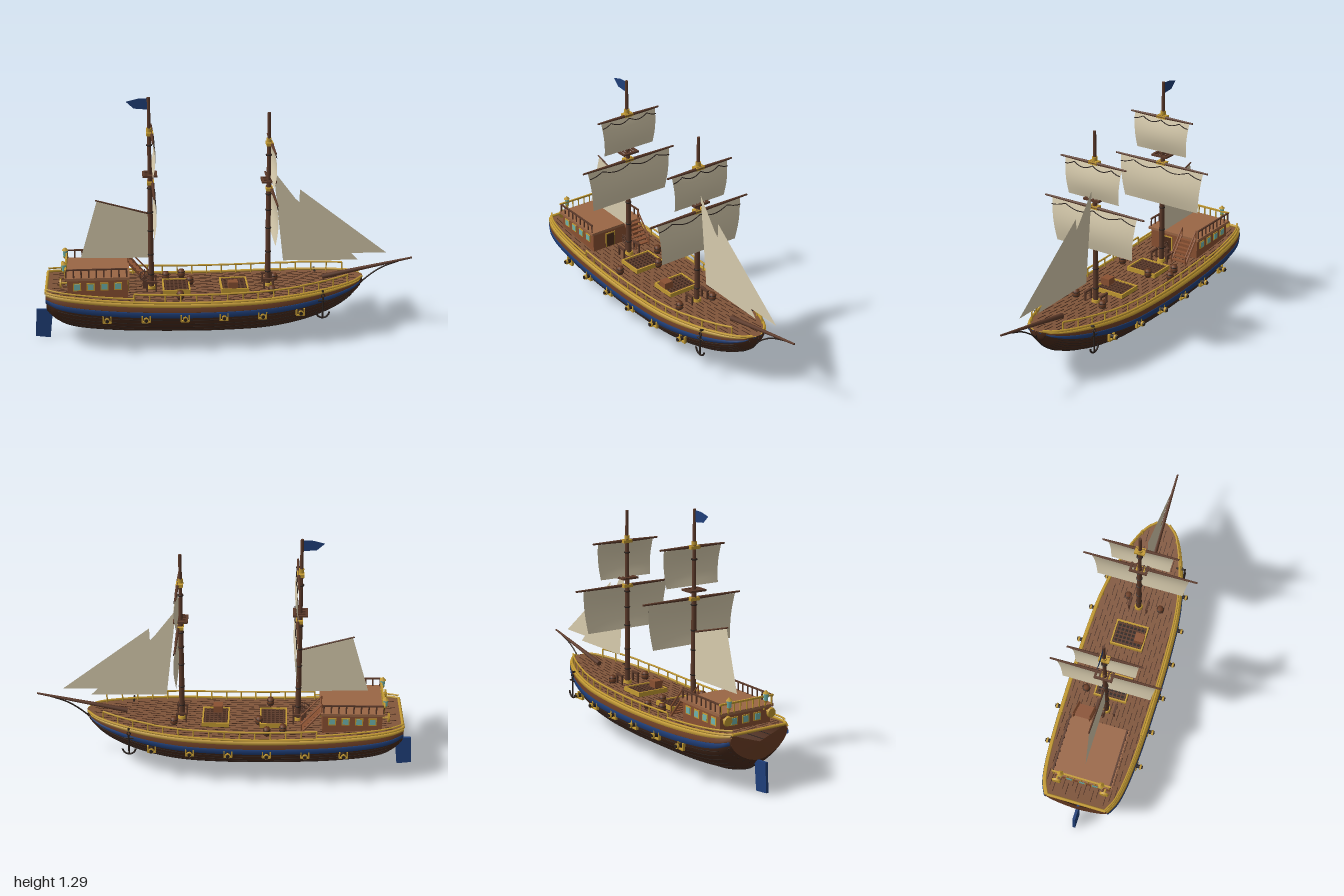
import * as THREE from 'three';
import { mergeGeometries } from 'three/addons/utils/BufferGeometryUtils.js';

const WOOD = 0x4a2b1c, WALE = 0x6b3d24, DECK = 0x80553a, CABIN = 0x8a5132, SPAR = 0x5c3a2a,
  GOLD = 0xc39a32, BLUE = 0x1f3f7a, SAIL = 0xd8ccae, DARK = 0x2a211d, GLASS = 0x6fb3ad;
const V = (x, y, z) => new THREE.Vector3(x, y, z);

// Hull lines: x, half width, keel height along the ship; unit cross-section from keel to sheer
const lines = new THREE.CatmullRomCurve3([
  [-0.93, 0.168, 0.16], [-0.88, 0.195, 0.11], [-0.8, 0.215, 0.075], [-0.6, 0.234, 0.048], [-0.3, 0.242, 0.034],
  [0, 0.24, 0.03], [0.25, 0.225, 0.042], [0.45, 0.184, 0.083], [0.6, 0.13, 0.145], [0.68, 0.085, 0.205],
  [0.72, 0.045, 0.25], [0.735, 0.002, 0.285]].map(p => V(...p)));
const section = new THREE.CatmullRomCurve3([[0, 0], [0.13, 0], [0.5, 0.15], [0.8, 0.38], [0.97, 0.63], [1, 0.8], [0.955, 1]]
  .map(p => V(p[0], p[1], 0)));
const sheer = x => 0.255 + 0.05 * ((x + 0.1) / 0.83) ** 2;
function station(x) {
  let a = 0, b = 1;
  for (let i = 0; i < 22; i++) { const m = (a + b) / 2; if (lines.getPoint(m).x < x) a = m; else b = m; }
  return lines.getPoint(a);
}
// Point on the hull: v runs -1 (right sheer) .. 0 (keel) .. 1 (left sheer)
function hullAt(x, v, off = 0) {
  const st = station(x), c = section.getPoint(Math.min(1, Math.abs(v))), s = v < 0 ? -1 : 1;
  return V(x, st.z + (sheer(x) - st.z) * c.y, s * (st.y * c.x + off));
}
const deckHalf = x => station(x).y * 0.955;

// Skin a list of equally long rows of points
function loft(rows) {
  const n = rows[0].length, idx = [];
  for (let i = 0; i < rows.length - 1; i++) for (let j = 0; j < n - 1; j++) {
    const a = i * n + j, b = a + n;
    idx.push(a, b, a + 1, a + 1, b, b + 1);
  }
  const g = new THREE.BufferGeometry().setFromPoints(rows.flat());
  g.setIndex(idx);
  g.computeVertexNormals();
  return g;
}
const range = (a, b, n) => Array.from({ length: n + 1 }, (_, i) => a + (b - a) * i / n);
const mat = (color, both) => new THREE.MeshStandardMaterial({ color, roughness: 0.85, side: both ? THREE.DoubleSide : THREE.FrontSide });
const box = (w, h, d, x, y, z) => new THREE.BoxGeometry(w, h, d).translate(x, y, z);
function bar(a, b, r0, r1 = r0, sides = 8) {
  const d = b.clone().sub(a), g = new THREE.CylinderGeometry(r1, r0, d.length(), sides);
  g.applyQuaternion(new THREE.Quaternion().setFromUnitVectors(V(0, 1, 0), d.normalize()));
  const c = a.clone().add(b).multiplyScalar(0.5);
  return g.translate(c.x, c.y, c.z);
}
const tube = (pts, r, n = 48) => new THREE.TubeGeometry(new THREE.CatmullRomCurve3(pts), n, r, 6);
const ring = (r, t, x, y, z) => new THREE.TorusGeometry(r, t, 6, 14).rotateX(Math.PI / 2).translate(x, y, z);

export function createModel() {
  const ship = new THREE.Group();
  const add = (name, geos, color, both = false) => {
    const m = new THREE.Mesh(Array.isArray(geos) ? mergeGeometries(geos) : geos, mat(color, both));
    m.name = name;
    ship.add(m);
    return m;
  };
  const sides = f => [1, -1].flatMap(s => f(s));

  // Hull shell, transom and deck
  const xs = lines.getPoints(70).map(p => p.x);
  add('hull', loft(xs.map(x => range(-1, 1, 48).map(v => hullAt(x, v)))), WOOD, true);
  add('transom', loft([range(-1, 1, 32).map(v => hullAt(-0.93, v)),
    range(-1, 1, 32).map(() => V(-0.935, 0.25, 0))]), WALE, true);
  add('deck', loft(xs.map(x => [-1, 0, 1].map(s => V(x, sheer(x) - 0.003, s * deckHalf(x))))), DECK, true);

  // Raised bands and plank seams along the hull
  const band = (v0, v1, off) => sides(s => [loft(range(-0.932, 0.733, 60).map(x =>
    [hullAt(x, s * v0), hullAt(x, s * v0, off), hullAt(x, s * v1, off), hullAt(x, s * v1)]))]);
  add('blueStripe', band(0.71, 0.83, 0.009), BLUE, true);
  add('wale', band(0.84, 0.95, 0.005), WALE, true);
  add('goldStrake', band(0.94, 1, 0.011), GOLD, true);
  add('plankSeams', sides(s => [0.22, 0.31, 0.4, 0.48, 0.56, 0.64].map(v =>
    tube(range(-0.92, 0.72, 24).map(x => hullAt(x, s * v)), 0.002, 60))), DARK);
  add('keel', tube(range(-0.92, 0.734, 40).map(x => V(x, station(x).z, 0)), 0.006, 80), DARK);
  add('capRail', sides(s => [tube(range(-0.93, 0.725, 40).map(x => V(x, sheer(x) + 0.004, s * deckHalf(x))), 0.007, 90)])
    .concat(bar(V(-0.93, 0.308, -0.16), V(-0.93, 0.308, 0.16), 0.008)), GOLD);

  // Deck plank seams in staggered dashes
  const dashes = [];
  for (let i = -9; i <= 9; i++) for (let k = 0; k < 17; k++) {
    const x = -0.87 + k * 0.094 + (Math.abs(i * 7) % 3) * 0.028, z = i * 0.023;
    if (x < 0.68 && deckHalf(x + 0.035) > Math.abs(z) + 0.015) {
      const slope = (sheer(x + 0.01) - sheer(x)) / 0.01;
      dashes.push(new THREE.BoxGeometry(0.066, 0.002, 0.003).rotateZ(Math.atan(slope)).translate(x, sheer(x) - 0.002, z));
    }
  }
  add('deckSeams', dashes, 0x45291b);

  // Open side rails on posts, higher at the bow
  const railPt = (x, s) => V(x, sheer(x) + (x > 0.4 ? 0.048 : 0.045), s * (deckHalf(x) - 0.008));
  add('sideRails', sides(s => [tube(range(-0.48, 0.64, 24).map(x => railPt(x, s)), 0.005, 60),
    ...range(-0.48, 0.64, 14).map(x => bar(railPt(x, s).setY(sheer(x) - 0.005), railPt(x, s), 0.004))]), GOLD);
  add('sternRails', sides(s => [tube(range(-0.93, -0.48, 8).map(x => V(x, sheer(x) + 0.022, s * (deckHalf(x) - 0.004))), 0.005, 20)]), GOLD);

  // Guns with gold port frames
  const gunX = range(-0.62, 0.38, 5), port = x => Math.abs(hullAt(x, 0.72).z);
  add('guns', sides(s => gunX.map(x => bar(V(x, 0.186, s * (port(x) - 0.02)), V(x, 0.186, s * (port(x) + 0.042)), 0.012, 0.009, 10))), DARK);
  add('gunPorts', sides(s => gunX.flatMap(x => [box(0.045, 0.007, 0.014, x, 0.166, s * (port(x) + 0.005)),
    box(0.007, 0.036, 0.014, x - 0.02, 0.184, s * (port(x) + 0.005)), box(0.007, 0.036, 0.014, x + 0.02, 0.184, s * (port(x) + 0.005)),
    bar(V(x, 0.186, s * (port(x) + 0.026)), V(x, 0.186, s * (port(x) + 0.036)), 0.014, 0.014, 10)])), GOLD);

  // Rudder
  const outline = pts => new THREE.Shape(pts.map(p => new THREE.Vector2(...p)));
  add('rudder', new THREE.ExtrudeGeometry(outline([[-0.99, 0.16], [-0.905, 0.155], [-0.922, 0], [-1, 0.01]]),
    { depth: 0.014, bevelEnabled: false }).translate(0, 0, -0.007), BLUE);

  // Stern cabin with roof, windows and door
  add('cabin', box(0.31, 0.11, 0.3, -0.665, 0.317, 0), CABIN);
  add('cabinRoof', box(0.33, 0.014, 0.326, -0.665, 0.377, 0), 0x9a6645);
  const winX = [-0.77, -0.7, -0.63, -0.56], backZ = [-0.07, 0, 0.07];
  add('windowFrames', [...sides(s => winX.map(x => box(0.042, 0.042, 0.006, x, 0.333, s * 0.151))),
    ...backZ.map(z => box(0.006, 0.042, 0.042, -0.821, 0.333, z)), box(0.006, 0.084, 0.06, -0.509, 0.31, 0.04)], GOLD);
  add('windowPanes', [...sides(s => winX.map(x => box(0.03, 0.03, 0.006, x, 0.333, s * 0.153))),
    ...backZ.map(z => box(0.006, 0.03, 0.03, -0.823, 0.333, z))], GLASS);
  add('cabinDoor', box(0.006, 0.076, 0.048, -0.507, 0.308, 0.04), WOOD);
  add('roofRail', sides(s => [box(0.32, 0.007, 0.009, -0.67, 0.428, s * 0.155),
    ...range(-0.825, -0.515, 8).map(x => bar(V(x, 0.38, s * 0.155), V(x, 0.428, s * 0.155), 0.004))]), SPAR);
  add('roofBackRail', [box(0.009, 0.009, 0.32, -0.828, 0.428, 0),
    ...range(-0.15, 0.15, 8).map(z => bar(V(-0.828, 0.38, z), V(-0.828, 0.428, z), 0.004))], GOLD);

  // Stairs from the main deck to the cabin roof
  add('stairs', [...range(0, 5, 5).map(i => box(0.02, 0.007, 0.085, -0.49 + i * 0.016, 0.368 - i * 0.018, -0.1)),
    ...[-0.145, -0.055].flatMap(z => [bar(V(-0.505, 0.385, z), V(-0.4, 0.262, z), 0.006),
      bar(V(-0.505, 0.43, z), V(-0.4, 0.31, z), 0.004), bar(V(-0.4, 0.255, z), V(-0.4, 0.312, z), 0.004),
      bar(V(-0.505, 0.38, z), V(-0.505, 0.432, z), 0.004)])], CABIN);

  // Stern lanterns and round ornaments
  add('lanternGlass', sides(s => [new THREE.CylinderGeometry(0.014, 0.011, 0.036, 6).translate(-0.835, 0.427, s * 0.11)]), GLASS);
  add('lanternFrames', sides(s => [new THREE.ConeGeometry(0.018, 0.018, 6).translate(-0.835, 0.453, s * 0.11),
    new THREE.CylinderGeometry(0.013, 0.008, 0.01, 6).translate(-0.835, 0.405, s * 0.11),
    bar(V(-0.82, 0.36, s * 0.11), V(-0.835, 0.405, s * 0.11), 0.005),
    bar(V(-0.85, 0.35, s * 0.13), V(-0.86, 0.35, s * 0.13), 0.026, 0.022, 16),
    bar(V(-0.82, 0.35, s * 0.13), V(-0.85, 0.35, s * 0.13), 0.006)]), GOLD);

  // Grated hatches
  for (const x of [-0.255, 0.05]) {
    add('hatchFrame', [...sides(s => [box(0.008, 0.024, 0.18, x + s * 0.068, 0.266, 0), box(0.144, 0.024, 0.008, x, 0.266, s * 0.086)])], GOLD);
    add('hatchPit', box(0.13, 0.008, 0.168, x, 0.259, 0), DARK);
    add('hatchGrating', [...range(-0.055, 0.055, 5).map(d => box(0.007, 0.008, 0.17, x + d, 0.27, 0)),
      ...range(-0.075, 0.075, 7).map(d => box(0.13, 0.008, 0.007, x, 0.27, d))], SPAR);
  }

  // Barrels, crate and steering wheel
  const barrel = (x, z) => new THREE.LatheGeometry([[0, 0], [0.015, 0], [0.02, 0.022], [0.015, 0.044], [0, 0.044]]
    .map(p => new THREE.Vector2(...p)), 12).translate(x, 0.255, z);
  const spots = [[-0.305, -0.135], [-0.18, -0.05], [-0.22, -0.165], [0.27, -0.07], [-0.24, 0.16], [0.24, 0.12]];
  add('barrels', spots.map(p => barrel(...p)), WALE);
  add('barrelHoops', spots.flatMap(p => [0.012, 0.032].map(h => ring(0.018, 0.002, p[0], 0.255 + h, p[1]))), DARK);
  add('crate', box(0.05, 0.04, 0.05, 0.04, 0.29, 0.06).rotateY(0.01), CABIN);
  add('steeringWheel', [new THREE.TorusGeometry(0.026, 0.004, 6, 20).translate(-0.42, 0.33, 0),
    ...range(0, 3, 3).map(i => bar(V(0, -0.036, 0), V(0, 0.036, 0), 0.002).rotateZ(i * Math.PI / 4).translate(-0.42, 0.33, 0)),
    box(0.02, 0.07, 0.02, -0.42, 0.29, -0.014)], SPAR);

  // Square sail bulging forward, with its yard and the festooned rope along its head
  function squareSail(x, y, yard, top, bottom, drop) {
    const at = (u, t) => V(x + 0.013 + 0.018 * Math.sin(Math.PI * t) * (1 - 0.3 * u * u), y - 0.006 - drop * t, u * (top + (bottom - top) * t));
    add('squareSail', loft(range(0, 1, 12).map(t => range(-1, 1, 16).map(u => at(u, t)))), SAIL, true);
    add('yard', sides(s => [bar(V(x + 0.014, y, 0), V(x + 0.014, y, s * yard), 0.009, 0.005)]), SPAR);
    add('yardSling', box(0.036, 0.016, 0.054, x + 0.004, y, 0), GOLD);
    add('sailRope', tube(range(-1, 1, 36).map(u => at(u, 0.05 + 0.09 * Math.abs(Math.sin(u * 1.5 * Math.PI))).add(V(0.004, 0, 0))), 0.0025, 72), DARK);
  }

  // Masts with bands, platform and two square sails each
  function mast(x, top, yUpper, upperHalf, yLower, lowerHalf, platform) {
    add('mast', [bar(V(x, 0.24, 0), V(x, platform, 0), 0.015, 0.012, 12), bar(V(x, platform, 0), V(x, top, 0), 0.011, 0.008, 12)], SPAR);
    add('mastBands', [0.34, 0.45, 0.58, 0.68, yLower - 0.03, yUpper - 0.06].map(y => ring(0.013, 0.004, x, y, 0)), DARK);
    add('mastCollar', [bar(V(x, 0.25, 0), V(x, 0.275, 0), 0.026, 0.02, 12), bar(V(x, yUpper + 0.01, 0), V(x, yUpper + 0.03, 0), 0.014, 0.014, 10)], GOLD);
    add('pinRack', sides(s => [box(0.06, 0.01, 0.012, x, 0.31, s * 0.05),
      ...[-0.024, 0.024].map(d => box(0.009, 0.06, 0.009, x + d, 0.285, s * 0.05))]), SPAR);
    add('platform', [...sides(s => [box(0.076, 0.01, 0.012, x, platform, s * 0.042), box(0.012, 0.01, 0.09, x + s * 0.032, platform, 0)]),
      ...[-0.02, 0, 0.02].map(z => box(0.07, 0.007, 0.008, x, platform, z))], SPAR);
    squareSail(x, yUpper, upperHalf, 0.172, 0.155, 0.19);
    squareSail(x, yLower, lowerHalf, 0.263, 0.235, 0.23);
  }
  mast(-0.385, 1.29, 1.1, 0.193, 0.84, 0.293, 0.885);
  mast(0.23, 1.2, 1.035, 0.2, 0.795, 0.307, 0.84);

  // Fore-and-aft sails, gaff and flag
  const flat = (name, pts, z, color) => add(name, new THREE.ShapeGeometry(outline(pts)).translate(0, 0, z), color, true);
  flat('aftSail', [[-0.66, 0.745], [-0.395, 0.672], [-0.395, 0.43], [-0.75, 0.438]], 0, SAIL);
  add('gaff', bar(V(-0.39, 0.672, 0), V(-0.668, 0.75, 0), 0.005, 0.004), SPAR);
  flat('innerJib', [[0.255, 0.89], [0.37, 0.738], [0.71, 0.39], [0.31, 0.397]], 0.002, SAIL);
  flat('outerJib', [[0.395, 0.785], [0.86, 0.425], [0.38, 0.43]], -0.002, SAIL);
  flat('flag', [[-0.385, 1.285], [-0.44, 1.283], [-0.5, 1.268], [-0.46, 1.232], [-0.385, 1.225]], 0, BLUE);

  // Bowsprit and the curved stay below it
  add('bowsprit', bar(V(0.52, 0.3, 0), V(0.999, 0.394, 0), 0.014, 0.005, 10), SPAR);
  add('bowStay', tube([V(0.715, 0.25, 0), V(0.77, 0.3, 0), V(0.84, 0.345, 0), V(0.93, 0.378, 0)], 0.004, 16), DARK);

  // Anchors at the bow
  add('anchors', sides(s => {
    const x = 0.5, z = s * (Math.abs(hullAt(x, 0.9).z) + 0.018);
    return [bar(V(x, 0.14, z), V(x, 0.255, z), 0.005), bar(V(x - 0.025, 0.235, z), V(x + 0.025, 0.235, z), 0.004),
      new THREE.TorusGeometry(0.034, 0.005, 6, 12, Math.PI).rotateZ(Math.PI).translate(x, 0.174, z),
      new THREE.TorusGeometry(0.009, 0.003, 6, 12).translate(x, 0.262, z),
      bar(V(x, 0.275, s * deckHalf(x) * 0.85), V(x, 0.285, z), 0.006)];
  }), DARK);
  return ship;
}
